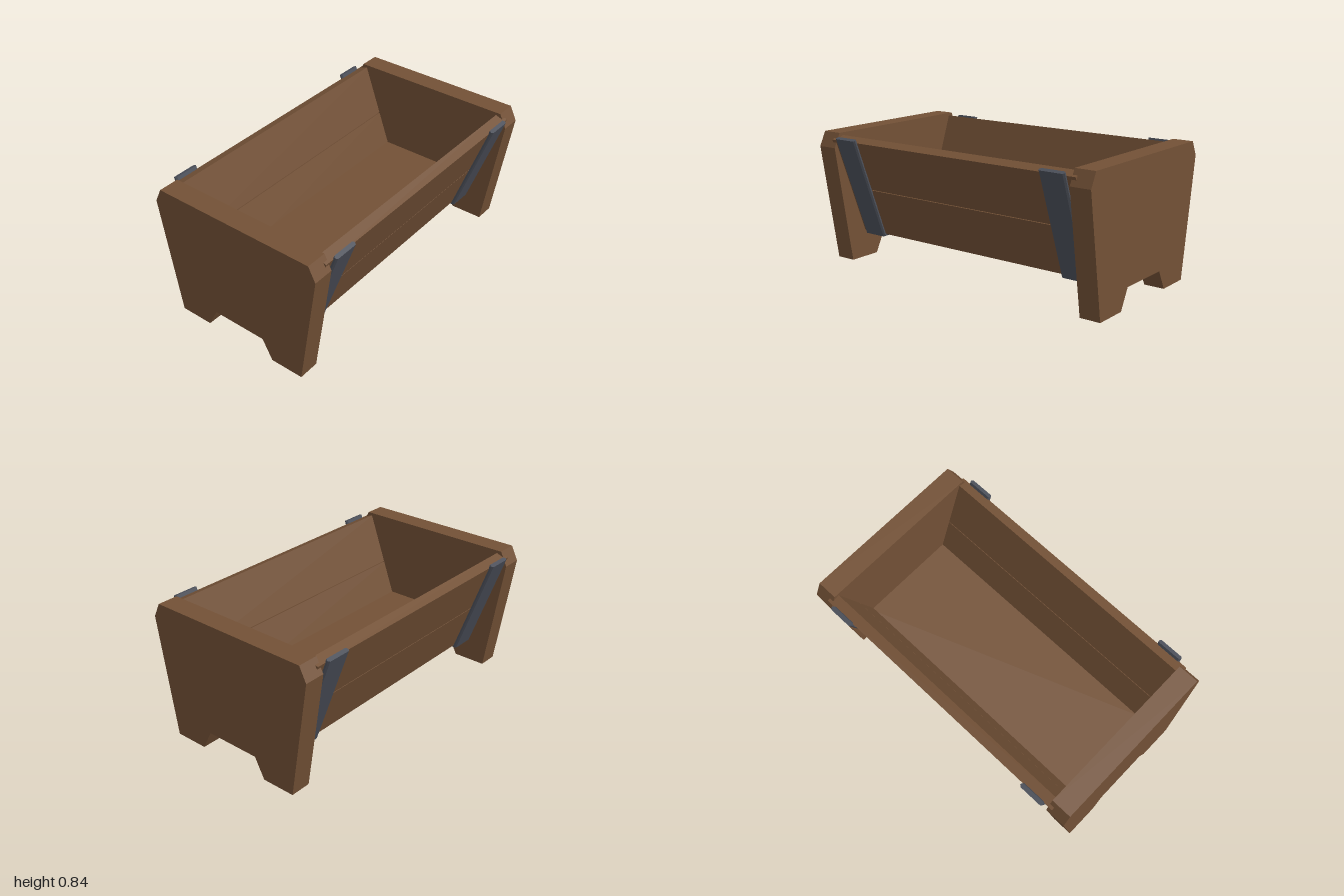
import * as THREE from 'three';

const wood = new THREE.MeshStandardMaterial({ color: 0x735136 });
wood.name = 'brown wood';
const iron = new THREE.MeshStandardMaterial({ color: 0x4c505a });
iron.name = 'grey iron';

const TILT = THREE.MathUtils.degToRad(20);

function addMesh(parent, name, geometry, material) {
  const mesh = new THREE.Mesh(geometry, material);
  mesh.name = name;
  parent.add(mesh);
  return mesh;
}

// Box given by its lower and upper limits
function block(x0, x1, y0, y1, z0, z1) {
  return new THREE.BoxGeometry(x1 - x0, y1 - y0, z1 - z0)
    .translate((x0 + x1) / 2, (y0 + y1) / 2, (z0 + z1) / 2);
}

// Flat bar with chamfered long edges, running along y, centred on its own origin
function strapGeometry(width, length, thickness) {
  const w = width / 2, t = thickness / 2, c = 0.009;
  const shape = new THREE.Shape([
    [-w + c, -t], [w - c, -t], [w, -t + c], [w, t - c],
    [w - c, t], [-w + c, t], [-w, t - c], [-w, -t + c],
  ].map(([x, y]) => new THREE.Vector2(x, y)));
  return new THREE.ExtrudeGeometry(shape, { depth: length, bevelEnabled: false })
    .translate(0, 0, -length / 2).rotateX(-Math.PI / 2);
}

// End board with sloping edges, clipped top corners and a cut-out between the feet
function endBoardGeometry() {
  const half = [[0.18, 0.125], [0.245, 0], [0.46, 0], [0.58, 0.75], [0.535, 0.84]];
  const outline = [...half, ...half.map(([z, y]) => [-z, y]).reverse()];
  const shape = new THREE.Shape(outline.map(([z, y]) => new THREE.Vector2(z, y)));
  return new THREE.ExtrudeGeometry(shape, { depth: 0.13, bevelEnabled: false })
    .translate(0, 0, -0.065).rotateY(Math.PI / 2);
}

export function createModel() {
  const model = new THREE.Group();
  model.name = 'planterTrough';

  // End boards
  for (const side of [1, -1]) {
    const board = addMesh(model, side > 0 ? 'leftEndBoard' : 'rightEndBoard', endBoardGeometry(), wood);
    board.position.x = side * 0.935;
  }

  // Floor
  addMesh(model, 'floor', block(-0.88, 0.88, 0.18, 0.3, -0.335, 0.335), wood);

  // Leaning front and back walls: two planks and two straps each
  for (const face of ['front', 'back']) {
    const turn = new THREE.Group();
    turn.name = face + 'Wall';
    if (face === 'back') turn.rotation.y = Math.PI;
    model.add(turn);
    const wall = new THREE.Group();
    wall.name = face + 'WallTilt';
    wall.position.set(0, 0.8, 0.57);
    wall.rotation.x = TILT;
    turn.add(wall);

    addMesh(wall, face + 'UpperPlank', block(-0.9, 0.9, -0.33, 0, -0.068, 0), wood);
    addMesh(wall, face + 'LowerPlank', block(-0.9, 0.9, -0.66, -0.335, -0.068, 0), wood);
    for (const side of [1, -1]) {
      const strap = addMesh(wall, face + 'Strap', strapGeometry(0.165, 0.69, 0.027), iron);
      strap.position.set(side * 0.7625, -0.323, 0.0075);
    }
  }

  // Straps passing under the floor
  for (const side of [1, -1]) {
    const strap = addMesh(model, 'bottomStrap', strapGeometry(0.165, 0.7, 0.027), iron);
    strap.rotation.x = Math.PI / 2;
    strap.position.set(side * 0.7625, 0.1785, 0);
  }

  return model;
}
